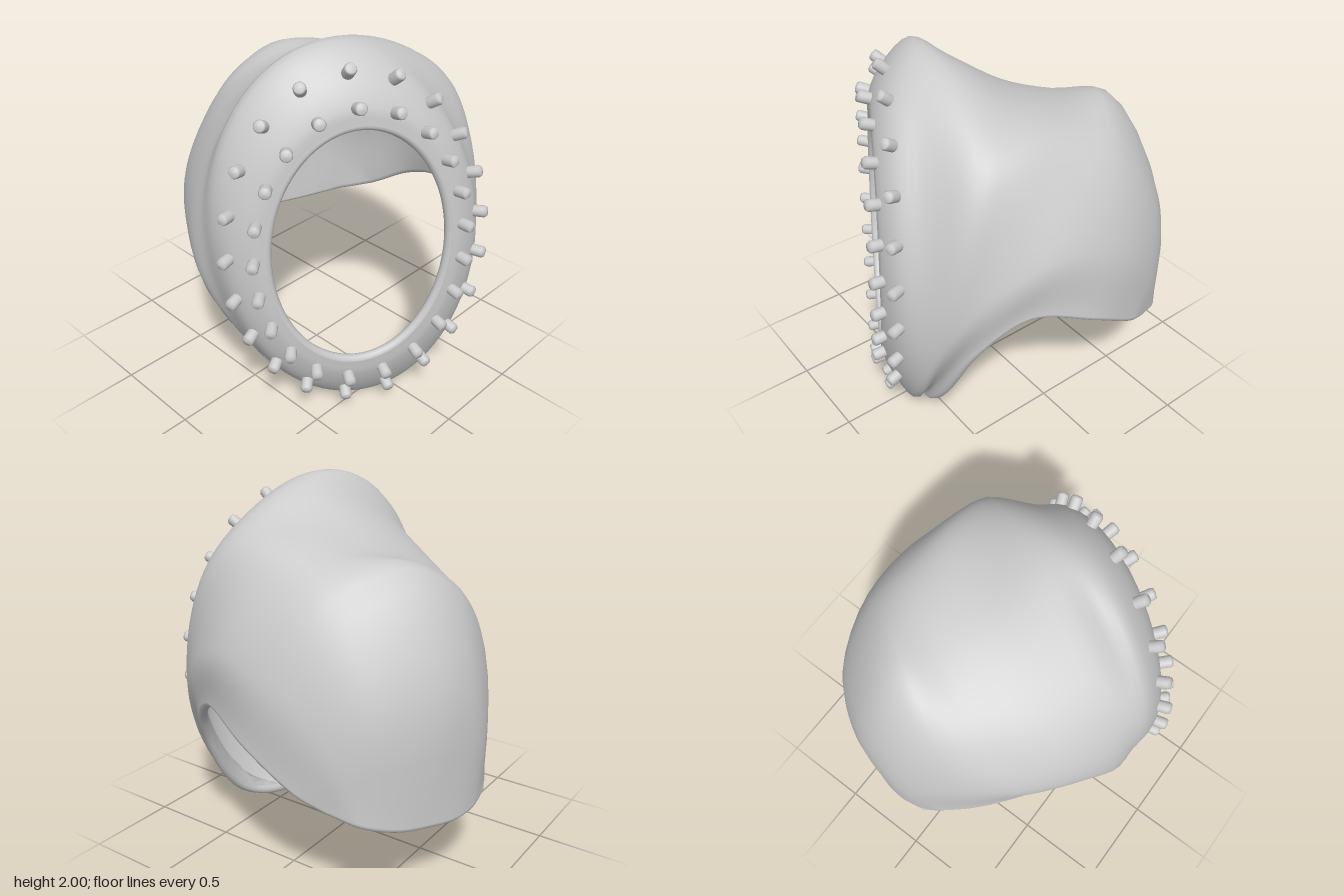
import * as THREE from 'three';

const N = 84, SUB = 4, T = 0.055; // samples per arc, rows per section, shell thickness
const FACE = new THREE.Vector3(0.884, 0, 0.468); // direction the face opening looks
const SIDE = new THREE.Vector3(0.468, 0, -0.884);

// Rings round the face opening: [half width, half height, forward offset, backward tilt, sideways lean]
const rings = [
  [0.482, 0.667, 0.642, 0.03, 0.02],
  [0.54, 0.752, 0.63, 0.03, 0.03],
  [0.645, 0.89, 0.56, 0.045, 0.05],
  [0.705, 0.995, 0.45, 0.08, 0.09],
];

// Open arcs over the head, from one neck edge over the crown to the other neck edge
const arcs = [
  [[0.62, 0.18, -0.26], [0.68, 0.8, -0.54], [0.47, 1.65, -0.5], [0.2, 1.95, 0.04], [-0.04, 1.55, 0.62], [-0.06, 0.84, 0.785], [0.13, 0.15, 0.48]],
  [[0.55, 0.74, -0.61], [0.5, 1.1, -0.68], [0.24, 1.71, -0.53], [-0.08, 1.77, -0.06], [-0.26, 1.48, 0.5], [-0.28, 1.05, 0.685], [-0.13, 0.53, 0.58]],
  [[0.33, 0.94, -0.75], [0.2, 1.25, -0.79], [-0.04, 1.67, -0.56], [-0.32, 1.69, -0.18], [-0.51, 1.48, 0.23], [-0.53, 1.1, 0.48], [-0.4, 0.7, 0.5]],
  [[0, 0.84, -0.86], [-0.15, 1.15, -0.84], [-0.33, 1.53, -0.64], [-0.55, 1.67, -0.28], [-0.69, 1.5, -0.02], [-0.72, 1.1, 0.24], [-0.66, 0.68, 0.3]],
  [[-0.3, 0.66, -0.84], [-0.45, 0.9, -0.8], [-0.62, 1.08, -0.67], [-0.8, 1.15, -0.4], [-0.86, 1.08, -0.2], [-0.87, 0.85, -0.03], [-0.8, 0.58, 0.12]],
  [[-0.43, 0.6, -0.8], [-0.58, 0.54, -0.73], [-0.71, 0.49, -0.59], [-0.8, 0.47, -0.43], [-0.86, 0.46, -0.28], [-0.88, 0.47, -0.14], [-0.86, 0.5, 0.01]],
];

function ringPoints([hw, hh, fwd, tilt, lean]) {
  return Array.from({ length: N + 1 }, (_, i) => {
    const a = -Math.PI / 2 + (i / N) * Math.PI * 2;
    return new THREE.Vector3(0, 1 + hh * Math.sin(a), 0)
      .addScaledVector(FACE, fwd - tilt * Math.sin(a))
      .addScaledVector(SIDE, 0.035 + hw * Math.cos(a) - lean * Math.sin(a));
  });
}

// Grid of points: rows run from the face opening to the back flap
function buildGrid() {
  const sections = [
    ...rings.map(ringPoints),
    ...arcs.map((a) => new THREE.CatmullRomCurve3(a.map((p) => new THREE.Vector3(...p))).getPoints(N)),
  ];
  const rows = (sections.length - 1) * SUB, closed = (rings.length - 1) * SUB;
  const columns = [];
  for (let i = 0; i <= N; i++) columns.push(new THREE.CatmullRomCurve3(sections.map((s) => s[i])).getPoints(rows));
  const P = [];
  for (let k = 0; k <= rows; k++) {
    P.push(columns.map((c) => c[k]));
    if (k <= closed) { // join the ring under the chin
      const mid = P[k][0].clone().lerp(P[k][N], 0.5);
      P[k][0] = mid;
      P[k][N] = mid.clone();
    }
  }
  const normals = P.map((row, k) => row.map((_, i) => {
    const wrap = k <= closed && (i === 0 || i === N);
    const corner = k > rows - SUB; // flap corners borrow the normal beside them
    const c = corner ? THREE.MathUtils.clamp(i, 8, N - 8) : i;
    const di = wrap ? row[1].clone().sub(row[N - 1])
      : row[Math.min(c + 1, N)].clone().sub(row[Math.max(c - 1, 0)]);
    const below = P[Math.max(k - 1, 0)], above = P[Math.min(k + 1, rows)];
    const dk = above[c].clone().sub(below[c]);
    if (wrap) dk.add(above[N - i]).sub(below[N - i]);
    return dk.cross(di).normalize();
  }));
  return { P, normals, rows, closed };
}

// Outer surface, or the inner one when inside is true
function skin({ P, normals, rows }, inside) {
  const pos = [], nor = [], idx = [];
  for (let k = 0; k <= rows; k++) {
    for (let i = 0; i <= N; i++) {
      const n = normals[k][i];
      pos.push(...P[k][i].clone().addScaledVector(n, inside ? -T : 0).toArray());
      nor.push(...n.clone().multiplyScalar(inside ? -1 : 1).toArray());
      if (k < rows && i < N) {
        const a = k * (N + 1) + i, b = a + N + 1;
        if (inside) idx.push(a, a + 1, b, b, a + 1, b + 1);
        else idx.push(a, b, a + 1, b, b + 1, a + 1);
      }
    }
  }
  const g = new THREE.BufferGeometry();
  g.setAttribute('position', new THREE.Float32BufferAttribute(pos, 3));
  g.setAttribute('normal', new THREE.Float32BufferAttribute(nor, 3));
  g.setIndex(idx);
  return g;
}

export function createModel() {
  const group = new THREE.Group();
  const material = new THREE.MeshStandardMaterial({ color: 0xcccccc });
  const add = (geometry, name, parent = group) => {
    const mesh = new THREE.Mesh(geometry, material);
    mesh.name = name;
    parent.add(mesh);
    return mesh;
  };
  const grid = buildGrid();
  const { P, normals, rows, closed } = grid;

  // Hood shell
  add(skin(grid, false), 'hoodOuter');
  add(skin(grid, true), 'hoodLining');

  // Rounded edges of the face and neck openings
  const edgePoint = (k, i) => P[k][i].clone().addScaledVector(normals[k][i], -T / 2);
  const edge = (points, name) => add(new THREE.TubeGeometry(
    new THREE.CatmullRomCurve3(points, true), 160, T / 2, 10, true), name);
  const face = [], neck = [];
  for (let i = 0; i < N; i += 2) face.push(edgePoint(0, i));
  for (let k = closed; k < rows; k++) neck.push(edgePoint(k, 0));
  for (let i = 0; i < N; i += 4) neck.push(edgePoint(rows, i));
  for (let k = rows; k > closed; k--) neck.push(edgePoint(k, N));
  edge(face, 'faceEdge');
  edge(neck, 'neckEdge');

  // Two rows of pegs, evenly spaced round the face opening
  const pegs = new THREE.Group();
  pegs.name = 'pegs';
  group.add(pegs);
  const pegGeometry = new THREE.LatheGeometry(
    [[0, -0.05], [0.022, -0.05], [0.03, -0.04], [0.031, 0.038], [0.024, 0.05], [0, 0.053]]
      .map((p) => new THREE.Vector2(...p)), 14);
  const up = new THREE.Vector3(0, 1, 0);
  for (const [k, name] of [[SUB, 'innerPeg'], [2 * SUB, 'outerPeg']]) {
    const path = new THREE.CatmullRomCurve3(P[k]);
    const lean = new THREE.CatmullRomCurve3(normals[k]);
    for (let j = 0; j < 21; j++) {
      const t = path.getUtoTmapping((j + 0.5) / 21);
      const n = lean.getPoint(t).normalize();
      const peg = add(pegGeometry, name, pegs);
      peg.position.copy(path.getPoint(t)).addScaledVector(n, 0.015);
      peg.quaternion.setFromUnitVectors(up, n);
    }
  }
  return group;
}
